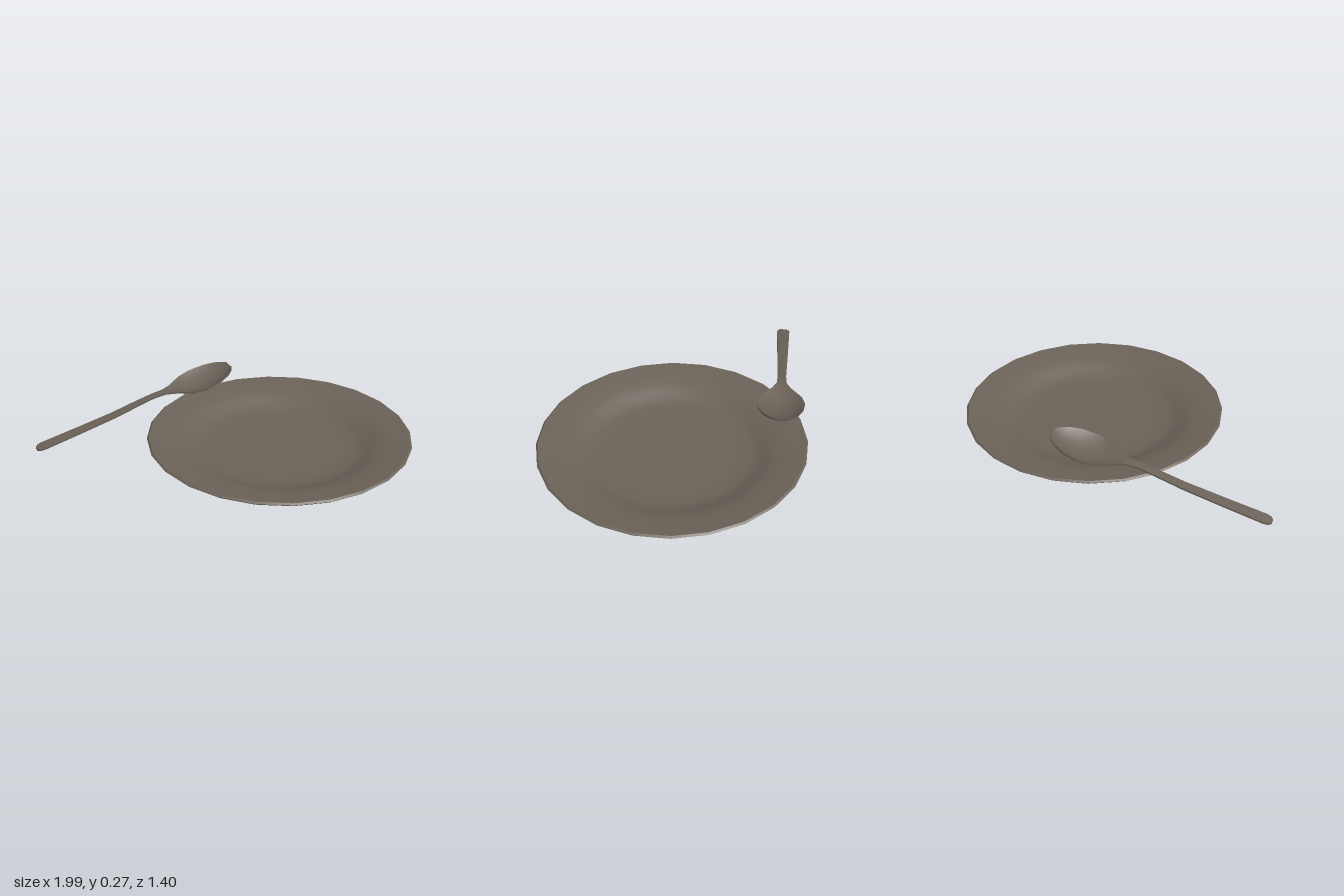
import * as THREE from 'three';
import { toCreasedNormals } from 'three/addons/utils/BufferGeometryUtils.js';

// Closed loft along x; each station is [x, rim height, half width, hollow on top, belly below]
function spoonGeometry(stations, edge = 0.009, across = 8) {
  const positions = [], index = [];
  const ring = 2 * (across + 1);
  for (const [x, y, half, hollow, belly] of stations) {
    for (let j = 0; j < ring; j++) {
      const top = j <= across;
      const k = top ? j : ring - 1 - j;
      const s = -Math.cos((k / across) * Math.PI);
      const bulge = 1 - s * s;
      positions.push(x, top ? y - hollow * bulge : y - edge - belly * bulge, s * half);
    }
  }
  const last = (stations.length - 1) * ring;
  for (let i = 0; i < last; i += ring) {
    for (let j = 0; j < ring; j++) {
      const a = i + j, b = i + (j + 1) % ring;
      index.push(a, b, a + ring, b, b + ring, a + ring);
    }
  }
  // End caps, joining the top sheet to the bottom sheet
  for (let j = 0; j < across; j++) {
    const k = ring - 1 - j;
    index.push(j, k, j + 1, j + 1, k, k - 1);
    index.push(last + j, last + j + 1, last + k, last + j + 1, last + k - 1, last + k);
  }
  const geometry = new THREE.BufferGeometry();
  geometry.setAttribute('position', new THREE.Float32BufferAttribute(positions, 3));
  geometry.setIndex(index);
  return toCreasedNormals(geometry, 0.8);
}

export function createModel() {
  const model = new THREE.Group();
  const stoneware = new THREE.MeshStandardMaterial({ color: 0x6b6258 });
  stoneware.name = 'warm grey';

  // Plate: underside with a shallow foot ring, sloping flange, rim, then the well
  const profile = [
    [0, 0.008], [0.385, 0.008], [0.395, 0], [0.42, 0], [0.485, 0.034],
    [0.54, 0.054], [0.6, 0.065], [0.693, 0.08], [0.702, 0.088], [0.692, 0.096],
    [0.6, 0.084], [0.54, 0.072], [0.49, 0.055], [0.45, 0.034], [0.41, 0.024],
    [0.34, 0.02], [0, 0.02],
  ].map(([r, y]) => new THREE.Vector2(r, y));
  const plate = new THREE.Mesh(
    toCreasedNormals(new THREE.LatheGeometry(profile, 24, THREE.MathUtils.degToRad(5)), 0.6),
    stoneware,
  );
  plate.name = 'plate';
  plate.position.x = 0.292;
  model.add(plate);

  // Spoon: rounded handle end, rising handle, neck, then the hollow bowl
  const spoon = new THREE.Mesh(spoonGeometry([
    [-0.01, 0.038, 0.016, 0, 0.002],
    [0.003, 0.042, 0.030, -0.001, 0.003],
    [0.025, 0.046, 0.036, -0.001, 0.003],
    [0.24, 0.089, 0.032, -0.001, 0.003],
    [0.44, 0.131, 0.028, -0.001, 0.003],
    [0.58, 0.168, 0.025, -0.001, 0.004],
    [0.67, 0.190, 0.023, -0.001, 0.005],
    [0.74, 0.199, 0.026, 0, 0.005],
    [0.79, 0.203, 0.048, 0.006, 0.01],
    [0.835, 0.207, 0.080, 0.02, 0.023],
    [0.88, 0.213, 0.108, 0.032, 0.036],
    [0.95, 0.226, 0.125, 0.043, 0.047],
    [1.03, 0.245, 0.116, 0.042, 0.045],
    [1.09, 0.260, 0.090, 0.03, 0.034],
    [1.125, 0.269, 0.060, 0.016, 0.019],
    [1.145, 0.274, 0.030, 0.004, 0.006],
  ]), stoneware);
  spoon.name = 'spoon';
  spoon.position.set(-0.981, 0, 0.093);
  spoon.rotation.y = 0.519;
  model.add(spoon);

  return model;
}
